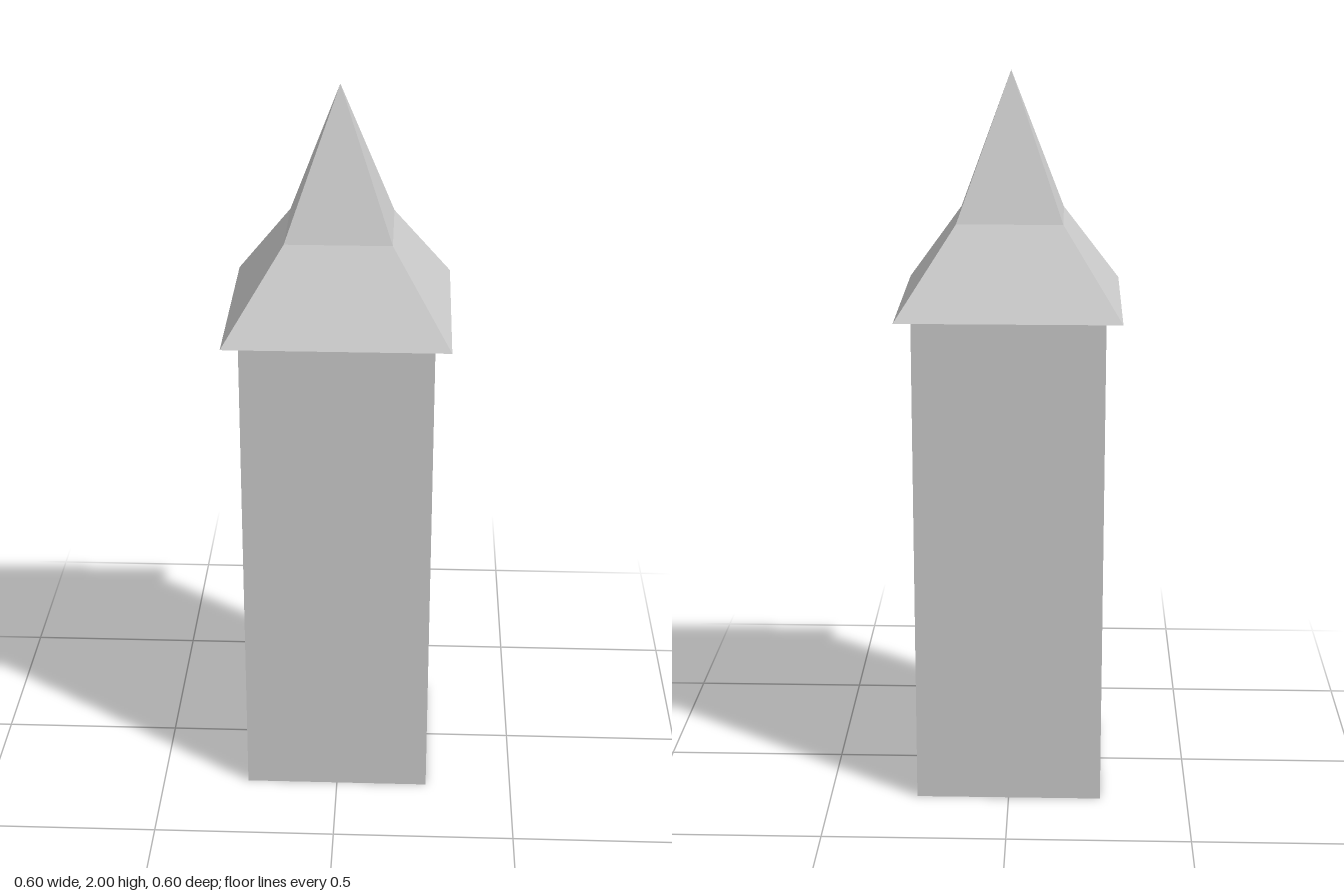
import * as THREE from 'three';

const material = new THREE.MeshStandardMaterial({ color: 0xcccccc, flatShading: true });

// Four-sided frustum with its sides facing the axes; sizes are half widths
function squareFrustum(name, topHalf, bottomHalf, y0, y1, openEnded) {
  const geometry = new THREE.CylinderGeometry(
    topHalf * Math.SQRT2, bottomHalf * Math.SQRT2, y1 - y0, 4, 1, openEnded
  );
  geometry.rotateY(Math.PI / 4);
  geometry.translate(0, (y0 + y1) / 2, 0);
  const flat = geometry.toNonIndexed();
  flat.computeVertexNormals();
  const mesh = new THREE.Mesh(flat, material);
  mesh.name = name;
  return mesh;
}

export function createModel() {
  const tower = new THREE.Group();
  tower.name = 'tower';

  const bodyHalf = 0.257, eaveHalf = 0.3, kneeHalf = 0.142;
  const eaveY = 1.377, kneeY = 1.61, tipY = 2;

  // Square shaft
  const body = new THREE.Mesh(
    new THREE.BoxGeometry(bodyHalf * 2, eaveY, bodyHalf * 2), material
  );
  body.name = 'shaft';
  body.position.y = eaveY / 2;
  tower.add(body);

  // Roof: flared skirt under a steep spire, closed by a flat soffit
  const roof = new THREE.Group();
  roof.name = 'roof';
  roof.add(squareFrustum('roofSkirt', kneeHalf, eaveHalf, eaveY, kneeY, true));
  roof.add(squareFrustum('spire', 0, kneeHalf, kneeY, tipY, true));

  const soffit = new THREE.Mesh(
    new THREE.PlaneGeometry(eaveHalf * 2, eaveHalf * 2).rotateX(Math.PI / 2), material
  );
  soffit.name = 'soffit';
  soffit.position.y = eaveY;
  roof.add(soffit);
  tower.add(roof);

  return tower;
}
